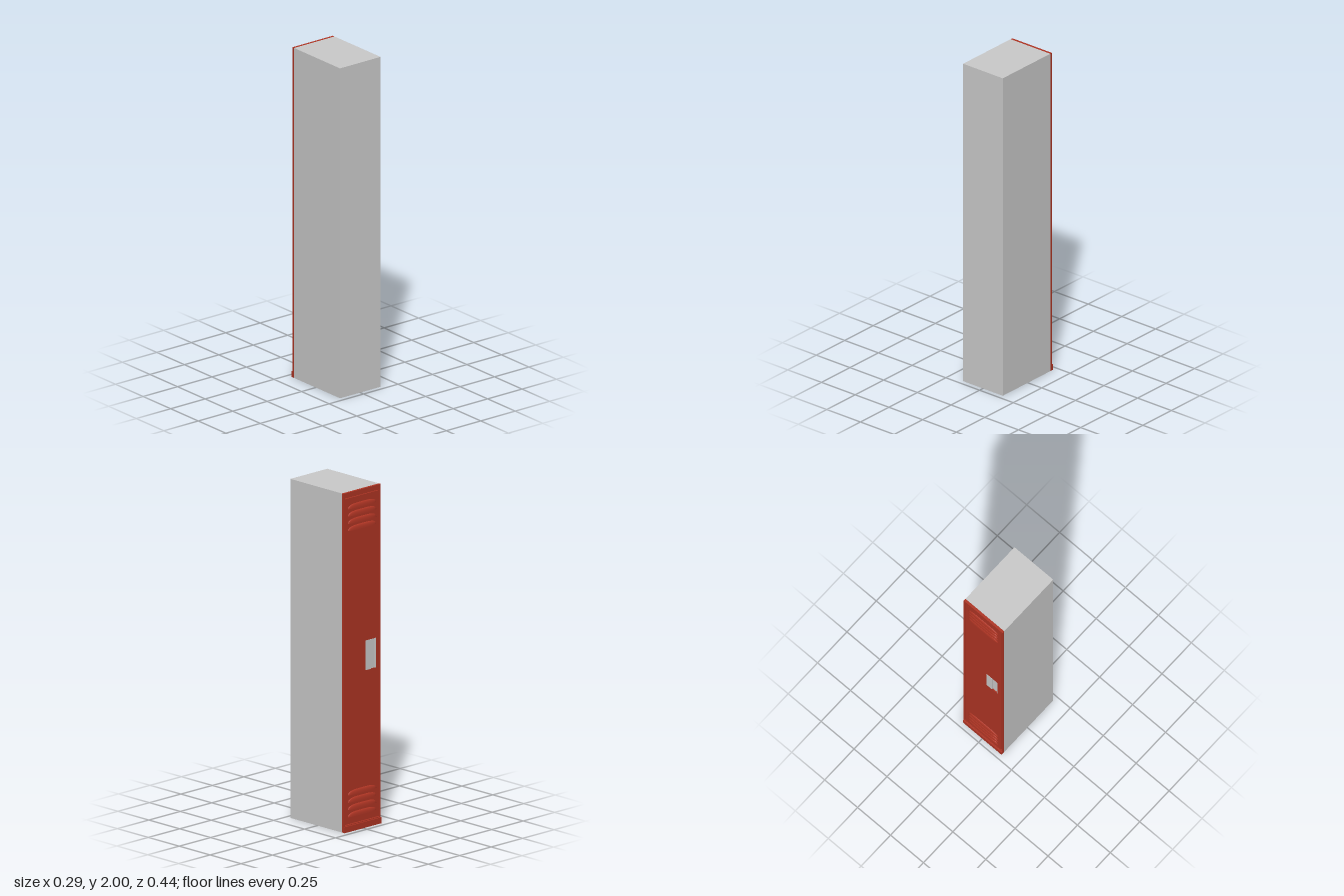
import * as THREE from 'three';

const grey = new THREE.MeshStandardMaterial({ color: 0xcccccc });
const red = new THREE.MeshStandardMaterial({ color: 0xb03524 });
const redThin = new THREE.MeshStandardMaterial({ color: 0xb03524, side: THREE.DoubleSide });

const W = 0.147;      // half width
const BACK = 0.197;   // plane where the steel front meets the body
const FACE = 0.212;   // outer plane of frame and door

function add(parent, name, geometry, material, x = 0, y = 0, z = 0) {
  const mesh = new THREE.Mesh(geometry, material);
  mesh.name = name;
  mesh.position.set(x, y, z);
  parent.add(mesh);
  return mesh;
}

// Box given by its min and max corners
function block(parent, name, material, [x0, y0, z0], [x1, y1, z1]) {
  return add(parent, name, new THREE.BoxGeometry(x1 - x0, y1 - y0, z1 - z0), material,
    (x0 + x1) / 2, (y0 + y1) / 2, (z0 + z1) / 2);
}

function rect(Type, x0, y0, x1, y1) {
  const s = new Type();
  s.moveTo(x0, y0);
  s.lineTo(x1, y0);
  s.lineTo(x1, y1);
  s.lineTo(x0, y1);
  s.closePath();
  return s;
}

// Flat panel with a rectangular opening
function panel(outer, hole, depth) {
  const s = rect(THREE.Shape, ...outer);
  s.holes.push(rect(THREE.Path, ...hole));
  return new THREE.ExtrudeGeometry(s, { depth, bevelEnabled: false });
}

// Pressed hood: rises from the panel at its top, open along its lower edge
function louverGeometry(halfWidth, height, out) {
  const g = new THREE.PlaneGeometry(2, 1, 32, 6);
  const p = g.attributes.position;
  for (let i = 0; i < p.count; i++) {
    const u = p.getX(i);
    const a = (0.5 - p.getY(i)) * Math.PI / 2;
    const s = Math.sqrt(Math.max(0, 1 - u ** 4));
    p.setXYZ(i, u * halfWidth, height * s * Math.cos(a), out * s * Math.sin(a));
  }
  g.computeVertexNormals();
  return g;
}

export function createModel() {
  const model = new THREE.Group();
  model.name = 'locker';

  // Cabinet body
  block(model, 'body', grey, [-W, 0, -BACK], [W, 2, 0.22]);

  // The door side is modelled facing +z, then turned to the rear
  const front = new THREE.Group();
  front.name = 'doorSide';
  front.rotation.y = Math.PI;
  model.add(front);

  // Frame around the door, and projecting kick plate
  add(front, 'frame', panel([-W, 0, W, 2], [-0.138, 0.04, 0.138, 1.97], FACE - BACK),
    red, 0, 0, BACK);
  block(front, 'kickPlate', red, [-W, 0, FACE], [W, 0.035, 0.22]);

  // Door with an opening for the latch
  const latch = [0.026, 0.925, 0.109, 1.1];
  add(front, 'door', panel([-0.134, 0.044, 0.134, 1.966], latch, FACE - BACK - 0.001),
    red, 0, 0, BACK);

  // Latch: flush plate beside a shallow finger recess
  const handle = new THREE.Group();
  handle.name = 'handle';
  front.add(handle);
  const [x0, y0, x1, y1] = latch;
  const mid = 0.068;
  block(handle, 'handlePlate', grey, [x0, y0, BACK], [mid, y1, FACE + 0.001]);
  block(handle, 'handleRecess', grey, [mid, y0, BACK], [x1, y1, FACE - 0.007]);
  block(handle, 'handleLip', grey, [x1 - 0.003, y0, BACK], [x1, y1, FACE]);

  // Ventilation louvers, four near each end
  const hood = louverGeometry(0.113, 0.027, 0.009);
  for (const base of [0.085, 1.773]) {
    for (let i = 0; i < 4; i++) {
      add(front, 'louver', hood, redThin, 0, base + i * 0.043, FACE - 0.001);
    }
  }
  return model;
}
